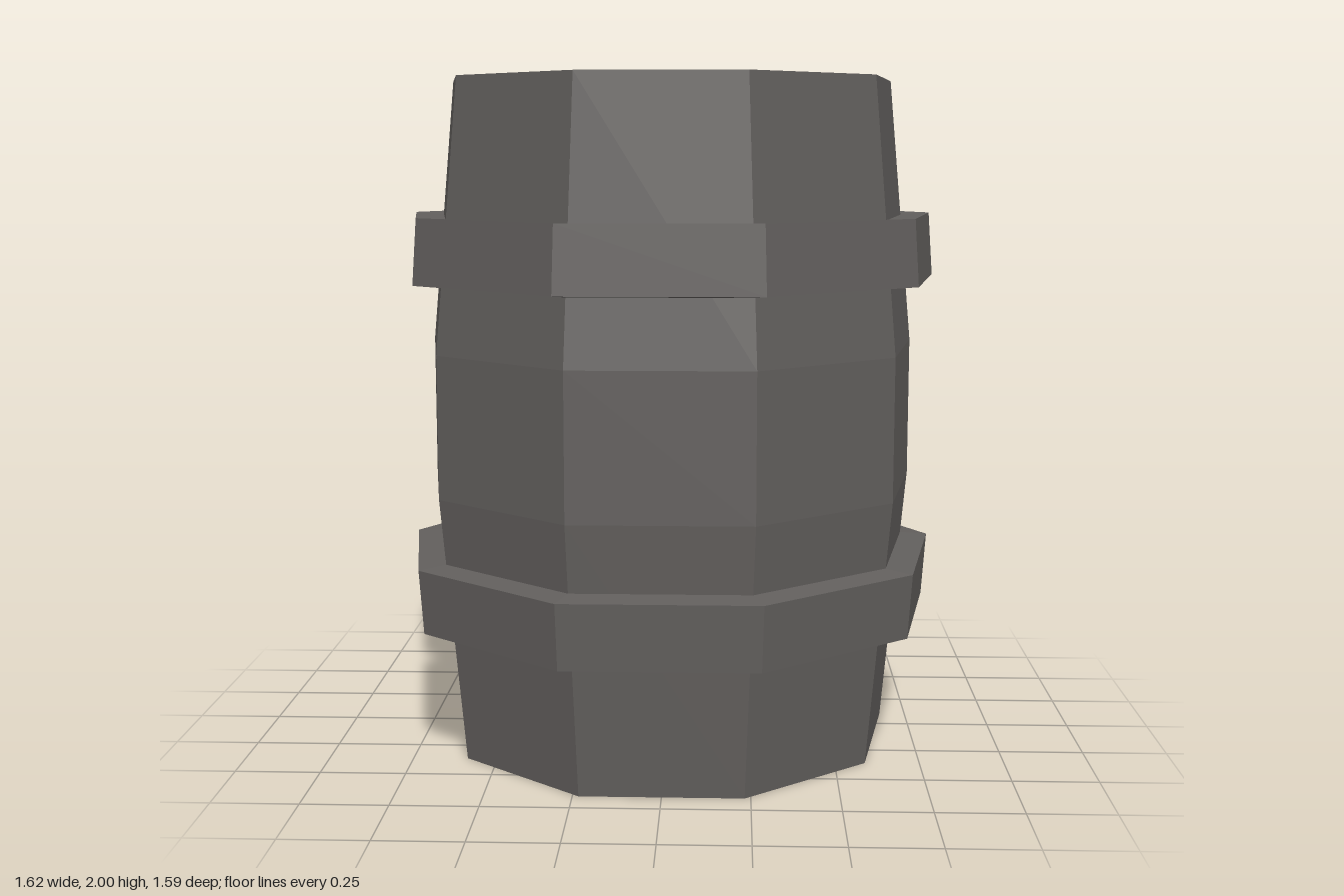
import * as THREE from 'three';

const SIDES = 9;

// Nine-sided faceted ring from a profile of [radius, height] pairs, one corner at the back
function facetedLathe(profile) {
  const points = profile.map(([r, y]) => new THREE.Vector2(r, y));
  const geometry = new THREE.LatheGeometry(points, SIDES, Math.PI).toNonIndexed();
  geometry.computeVertexNormals();
  return geometry;
}

export function createModel() {
  const barrel = new THREE.Group();
  barrel.name = 'barrel';
  const darkGrey = new THREE.MeshStandardMaterial({ color: 0x625f5d });
  darkGrey.name = 'dark grey';

  const add = (name, profile) => {
    const mesh = new THREE.Mesh(facetedLathe(profile), darkGrey);
    mesh.name = name;
    barrel.add(mesh);
  };

  // Bulging staves with their rims and the recess walls at both ends
  add('staves', [
    [0.563, 0.1], [0.563, 0], [0.68, 0], [0.755, 0.79],
    [0.755, 1.21], [0.68, 2], [0.563, 2], [0.563, 1.9],
  ]);

  // Recessed end boards
  add('lid', [[0.563, 1.9], [0, 1.9]]);
  add('base', [[0, 0.1], [0.563, 0.1]]);

  // Hoops, square to the sloping staves and mirrored about mid height
  const hoop = [[0.71, 0.405], [0.808, 0.398], [0.822, 0.588], [0.73, 0.597]];
  add('lowerHoop', hoop);
  add('upperHoop', hoop.map(([r, y]) => [r, 2 - y]).reverse());

  // An odd number of sides is deeper at the corner, so shift to centre
  barrel.children.forEach((mesh) => { mesh.position.z = 0.0245; });
  return barrel;
}
